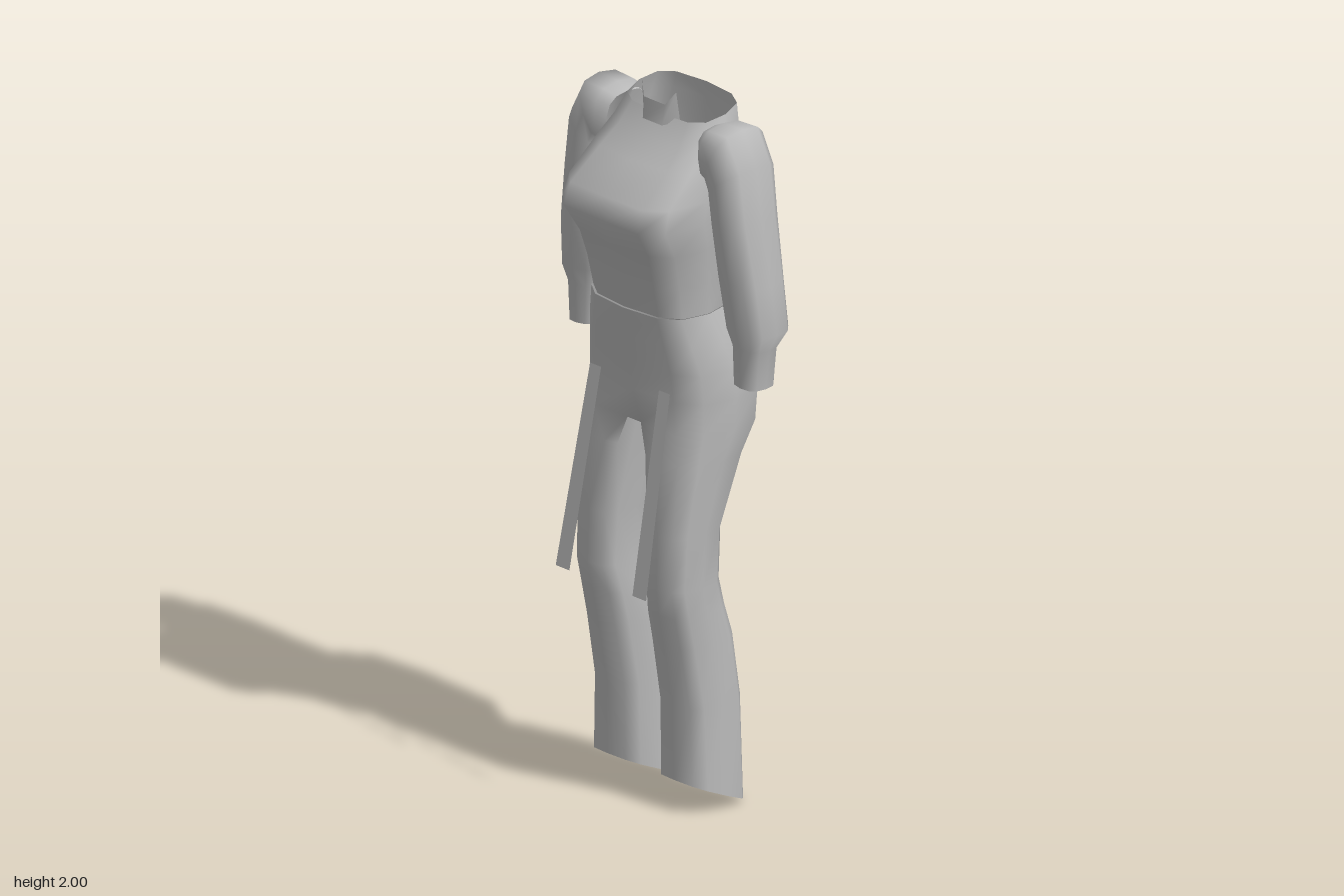
import * as THREE from 'three';
import { mergeGeometries, mergeVertices } from 'three/addons/utils/BufferGeometryUtils.js';

const HALF = 6; // segments in half a cross-section
const fabric = new THREE.MeshStandardMaterial({ color: 0xb8b8b8, side: THREE.DoubleSide });
fabric.name = 'grey fabric';

// Skin a list of cross-sections (top to bottom, each a list of [x, y, z])
function loft(rows, closed = true) {
  const n = rows[0].length, index = [];
  for (let i = 0; i < rows.length - 1; i++) {
    for (let j = 0; j < (closed ? n : n - 1); j++) {
      const a = i * n + j, b = i * n + (j + 1) % n, c = a + n, d = b + n;
      index.push(a, c, b, b, c, d);
    }
  }
  const geo = new THREE.BufferGeometry();
  geo.setAttribute('position', new THREE.Float32BufferAttribute(rows.flat(2), 3));
  geo.setIndex(index);
  return geo;
}

// Join pieces and smooth across their shared edges
function smooth(...pieces) {
  const geo = mergeVertices(mergeGeometries(pieces), 1e-4);
  geo.computeVertexNormals();
  return geo;
}

const soft = (v, e) => Math.sign(v) * Math.abs(v) ** e;

// Point on a rounded-box outline; angle 0 is the front, PI/2 the outer side
function outline(s, t) {
  const { yf, yb = yf, w, zf, zb, c = 0, cx = c, e = 0.7, dip = 0, dipBack = 0 } = s;
  const sn = soft(Math.abs(Math.sin(t)) < 1e-6 ? 0 : Math.sin(t), e);
  const x = cx + sn * (sn > 0 ? w - cx : cx - c);
  let z = (zf + zb) / 2 + soft(Math.cos(t), e) * (zf - zb) / 2;
  const y = yb + (yf - yb) * (z - zb) / (zf - zb);
  if (Math.cos(t) > 0.999) z -= dip;
  if (Math.cos(t) < -0.999) z += dipBack;
  return [x, y, z];
}

// Symmetric section around the whole body
function bodyRing(s) {
  const half = [];
  for (let k = 0; k <= HALF; k++) half.push(outline(s, k * Math.PI / HALF));
  return [...half, ...half.map(([x, y, z]) => [-x, y, z]).reverse()];
}

// Section of one leg
function legRing(s) {
  return Array.from({ length: 2 * HALF }, (_, k) => outline(s, k * Math.PI / HALF));
}

function mirrorX(geo) {
  const m = geo.clone().scale(-1, 1, 1), idx = m.index.array;
  for (let i = 0; i < idx.length; i += 3) [idx[i], idx[i + 1]] = [idx[i + 1], idx[i]];
  return m;
}

function addPart(group, geo, name) {
  const mesh = new THREE.Mesh(geo, fabric);
  mesh.name = name;
  group.add(mesh);
}

function addPair(group, geo, name) {
  for (const [side, g] of [['left', geo], ['right', mirrorX(geo)]]) {
    g.computeVertexNormals();
    addPart(group, g, side + name);
  }
}

export function createModel() {
  const model = new THREE.Group();
  model.name = 'jumpsuit';

  // Bodice, from the open neckline to the waist
  const bodice = [
    { yf: 1.925, yb: 1.965, w: 0.165, zf: 0.0, zb: -0.175, e: 0.65 },
    { yf: 1.87, yb: 1.92, w: 0.18, zf: 0.04, zb: -0.176, e: 0.65 },
    { yf: 1.82, w: 0.2, zf: 0.1, zb: -0.168, e: 0.65 },
    { yf: 1.74, w: 0.207, zf: 0.2, zb: -0.16, e: 0.6, dip: 0.012 },
    { yf: 1.68, w: 0.213, zf: 0.222, zb: -0.155, e: 0.6, dip: 0.015 },
    { yf: 1.6, w: 0.205, zf: 0.172, zb: -0.15, e: 0.65 },
    { yf: 1.5, w: 0.195, zf: 0.143, zb: -0.142 },
    { yf: 1.41, w: 0.188, zf: 0.12, zb: -0.135 },
  ];
  addPart(model, smooth(loft(bodice.map(bodyRing))), 'bodice');

  // Trousers: hips, two legs and the strip joining them
  const crotch = { yf: 1.08, w: 0.237, zf: 0.1, zb: -0.205, c: 0.025, dip: 0.015, dipBack: 0.015 };
  const hips = [
    { yf: 1.41, w: 0.19, zf: 0.128, zb: -0.14 },
    { yf: 1.33, w: 0.215, zf: 0.118, zb: -0.182 },
    { yf: 1.25, w: 0.235, zf: 0.105, zb: -0.213, dip: 0.005 },
    { yf: 1.17, w: 0.24, zf: 0.1, zb: -0.215, dip: 0.01, dipBack: 0.008 },
    crotch,
  ];
  const legRows = [
    crotch,
    { yf: 1.0, w: 0.23, zf: 0.107, zb: -0.145, c: 0.03, cx: 0.09 },
    { yf: 0.8, w: 0.215, zf: 0.125, zb: -0.062, c: 0.05, cx: 0.13 },
    { yf: 0.65, w: 0.21, zf: 0.13, zb: -0.058, c: 0.055, cx: 0.132 },
    { yf: 0.57, w: 0.21, zf: 0.115, zb: -0.08, c: 0.042, cx: 0.126 },
    { yf: 0.48, w: 0.21, zf: 0.097, zb: -0.11, c: 0.04, cx: 0.125 },
    { yf: 0.3, w: 0.215, zf: 0.065, zb: -0.135, c: 0.035, cx: 0.125 },
    { yf: 0.09, yb: 0.0, w: 0.225, zf: 0.062, zb: -0.14, c: 0.03, cx: 0.127 },
  ];
  const leg = loft(legRows.map(legRing));
  const strip = loft([0.085, -0.19].map(z => [[-0.025, 1.08, z], [0.025, 1.08, z]]), false);
  addPart(model, smooth(loft(hips.map(bodyRing)), leg, mirrorX(leg), strip), 'trousers');

  // Sleeves: each row is inner x, y, outer x, y, front z, back z
  const sleeveRows = [
    [0.185, 1.8, 0.165, 1.925, 0.02, -0.12],
    [0.195, 1.79, 0.2, 1.942, 0.042, -0.138],
    [0.2, 1.78, 0.275, 1.945, 0.045, -0.142],
    [0.205, 1.765, 0.325, 1.85, 0.045, -0.142],
    [0.212, 1.69, 0.347, 1.7, 0.042, -0.138],
    [0.222, 1.55, 0.378, 1.53, 0.03, -0.133],
    [0.238, 1.4, 0.388, 1.39, 0.014, -0.14],
    [0.257, 1.35, 0.37, 1.345, 0.0, -0.105],
    [0.266, 1.24, 0.36, 1.235, 0.0, -0.1],
  ];
  const sleeve = loft(sleeveRows.map(([xi, yi, xo, yo, zf, zb]) =>
    Array.from({ length: 12 }, (_, k) => {
      const t = k * Math.PI / 6;
      const u = 0.5 + soft(Math.sin(t), 0.75) / 2, v = 0.5 + soft(Math.cos(t), 0.75) / 2;
      return [xi + (xo - xi) * u, yi + (yo - yi) * u, zb + (zf - zb) * v];
    })));
  addPair(model, sleeve, 'Sleeve');

  // Stand collar with two raised points
  const collar = loft([
    [[-0.065, 2.0, -0.005], [-0.04, 1.963, 0.012], [0.04, 1.963, 0.012], [0.065, 2.0, -0.005]],
    [[-0.07, 1.915, -0.015], [-0.036, 1.905, 0.02], [0.036, 1.905, 0.02], [0.07, 1.915, -0.015]],
  ], false);
  addPart(model, smooth(collar), 'collar');

  // Loose sash ends hanging in front of the thighs
  const sash = loft([
    [[0.11, 1.2, 0.1], [0.152, 1.2, 0.1]],
    [[0.12, 0.65, 0.205], [0.172, 0.65, 0.205]],
  ], false);
  addPair(model, sash, 'SashEnd');

  return model;
}
